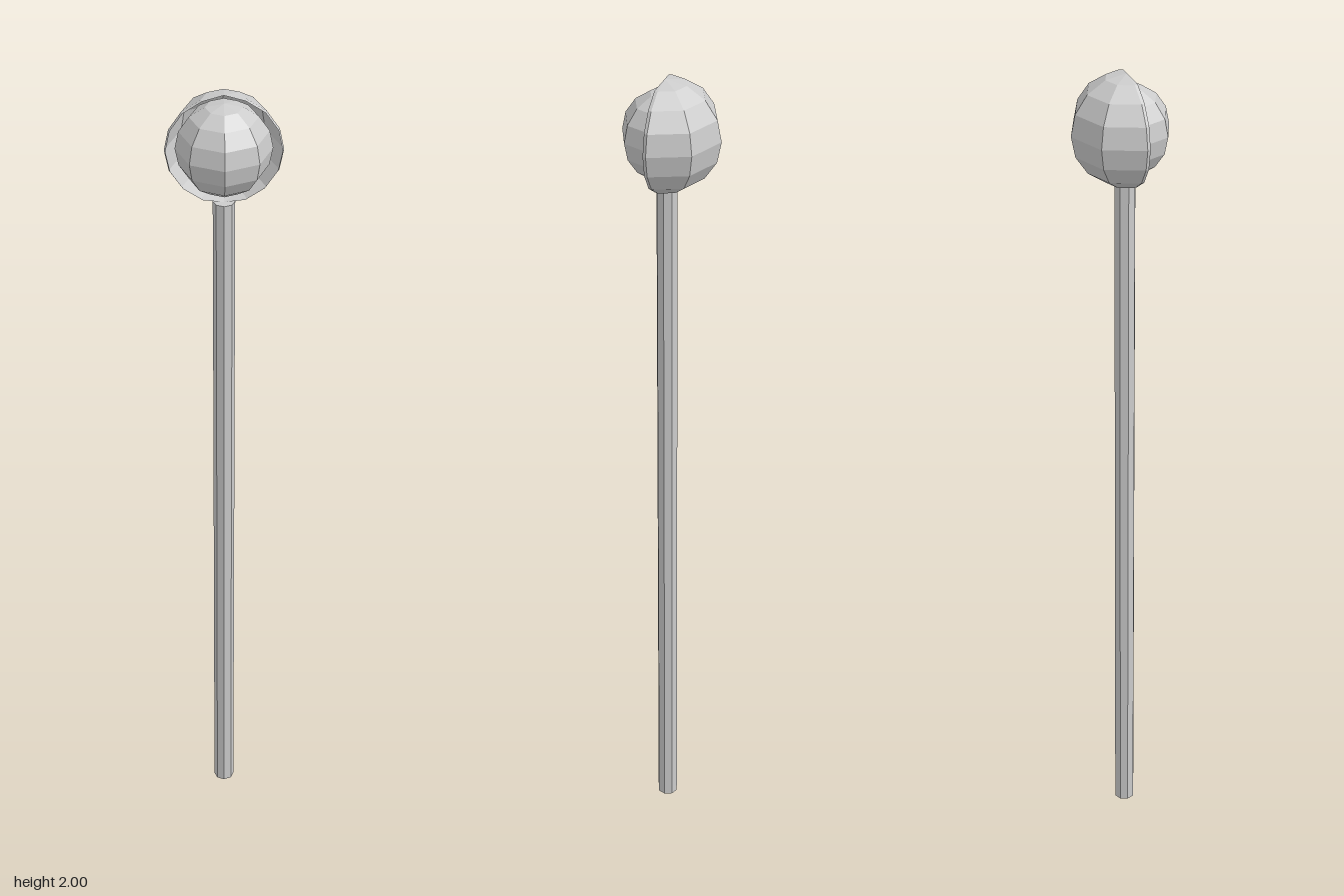
import * as THREE from 'three';

const grey = (side = THREE.FrontSide) =>
  new THREE.MeshStandardMaterial({ color: 0xcccccc, flatShading: true, side });

function add(group, name, geometry, material, y, z) {
  const mesh = new THREE.Mesh(geometry, material);
  mesh.name = name;
  mesh.position.set(0, y, z);
  group.add(mesh);
}

// Back half of a faceted sphere, carried forward past its middle by a short rim
function hoodGeometry(radius, rim) {
  const g = new THREE.SphereGeometry(radius, 6, 8, Math.PI * 0.75, Math.PI * 1.5);
  const p = g.attributes.position;
  for (let i = 0; i < p.count; i++) {
    const x = p.getX(i), z = p.getZ(i);
    if (z <= rim) continue;
    // slide the front columns back along their facets to the cut plane
    const ring = Math.sign(x) * Math.hypot(x, z);
    p.setX(i, THREE.MathUtils.lerp(ring, x, rim / z));
    p.setZ(i, rim);
  }
  return g;
}

export function createModel() {
  const model = new THREE.Group();
  model.name = 'streetLamp';
  const headY = 1.8685;

  // Pole
  const poleHeight = 1.737;
  add(model, 'pole', new THREE.CylinderGeometry(0.025, 0.025, poleHeight, 8), grey(), poleHeight / 2, 0.01);

  // Globe
  add(model, 'globe', new THREE.SphereGeometry(0.108, 8, 8), grey(), headY, 0.007);

  // Open hood behind the globe
  add(model, 'hood', hoodGeometry(0.1315, 0.008), grey(THREE.DoubleSide), headY, 0.0145);

  return model;
}
